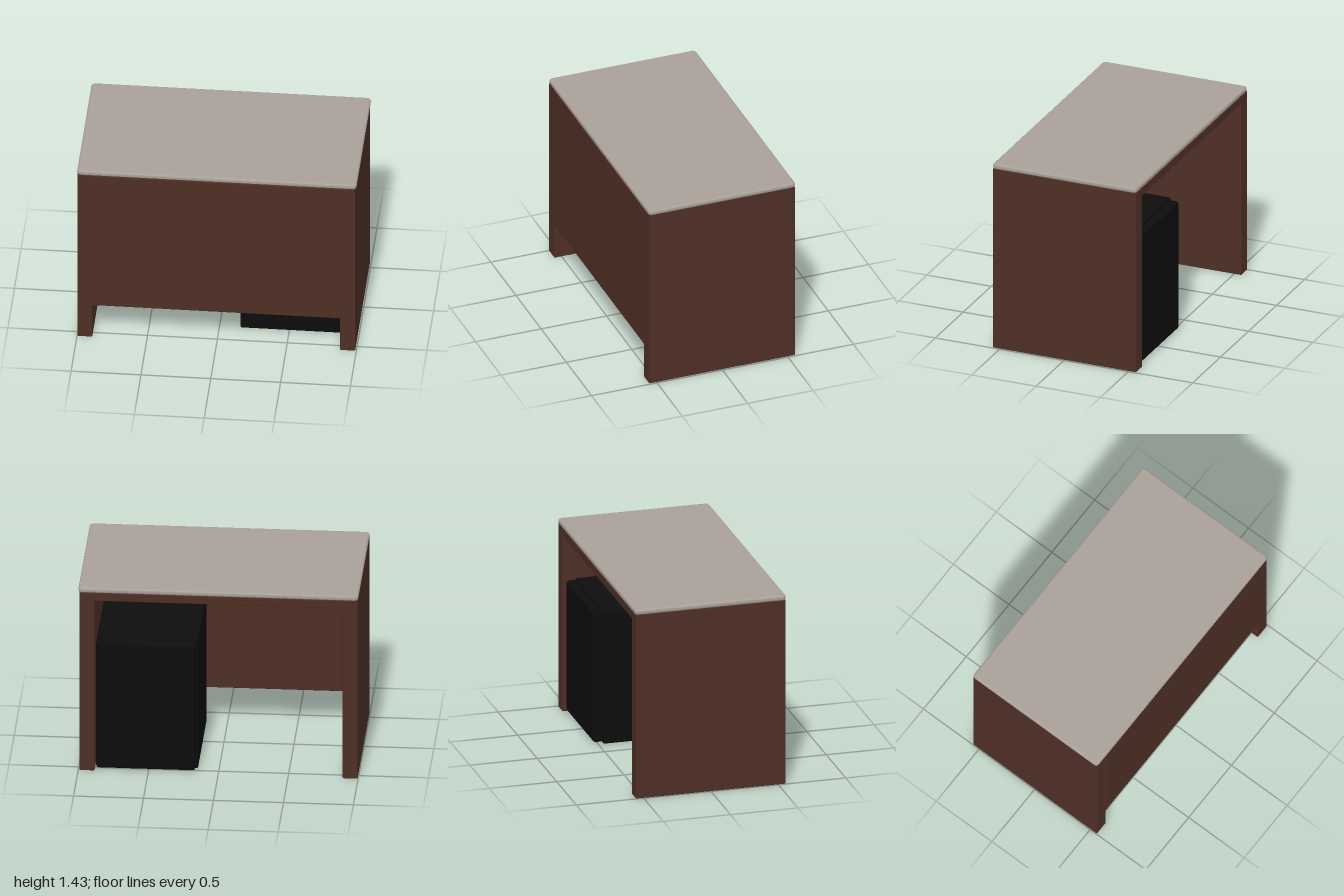
import * as THREE from 'three';
import { RoundedBoxGeometry } from 'three/addons/geometries/RoundedBoxGeometry.js';

const material = (name, color) => {
  const m = new THREE.MeshStandardMaterial({ color });
  m.name = name;
  return m;
};

export function createModel() {
  const desk = new THREE.Group();
  desk.name = 'desk';
  const wood = material('dark brown wood', 0x4e2f25);
  const stone = material('warm grey top', 0xa8a098);
  const black = material('black cabinet', 0x0d0d0d);

  // Box given by its limits on each axis, with slightly rounded edges
  const box = (name, mat, [x0, x1], [y0, y1], [z0, z1], radius = 0.006) => {
    const mesh = new THREE.Mesh(new RoundedBoxGeometry(x1 - x0, y1 - y0, z1 - z0, 2, radius), mat);
    mesh.position.set((x0 + x1) / 2, (y0 + y1) / 2, (z0 + z1) / 2);
    mesh.name = name;
    desk.add(mesh);
    return mesh;
  };

  // Worktop with softly rounded vertical corners and edges
  const w = 0.985, d = 0.545, r = 0.012, bevel = 0.013;
  const outline = new THREE.Shape();
  outline.moveTo(-w + r, -d);
  outline.lineTo(w - r, -d).absarc(w - r, -d + r, r, -Math.PI / 2, 0);
  outline.lineTo(w, d - r).absarc(w - r, d - r, r, 0, Math.PI / 2);
  outline.lineTo(-w + r, d).absarc(-w + r, d - r, r, Math.PI / 2, Math.PI);
  outline.lineTo(-w, -d + r).absarc(-w + r, -d + r, r, Math.PI, Math.PI * 1.5);
  const slab = new THREE.ExtrudeGeometry(outline, {
    depth: 0.012, bevelEnabled: true, bevelThickness: bevel, bevelSize: 0.015, bevelSegments: 3, curveSegments: 5,
  });
  slab.rotateX(-Math.PI / 2);
  const worktop = new THREE.Mesh(slab, stone);
  worktop.position.y = 1.392 + bevel;
  worktop.name = 'worktop';
  desk.add(worktop);

  // Wooden carcass
  box('rightSidePanel', wood, [-0.997, -0.89], [0, 1.394], [-0.557, 0.557]);
  box('leftSidePanel', wood, [0.883, 0.992], [0, 1.394], [-0.557, 0.557]);
  box('topRail', wood, [-0.9, 0.893], [1.33, 1.393], [-0.556, 0.55]);
  box('frontPanel', wood, [-0.9, 0.893], [0.275, 1.393], [0.45, 0.56]);
  box('innerFrontPanel', wood, [-0.855, 0.88], [0.26, 1.335], [0.36, 0.47]);
  box('innerFillerStrip', wood, [-0.893, -0.85], [0.28, 1.335], [0.36, 0.46]);

  // Black cabinet standing under the worktop, door facing the back
  box('cabinetBody', black, [0.15, 0.872], [0, 1.01], [-0.465, 0.345], 0.012);
  box('cabinetDoor', black, [0.165, 0.875], [0.01, 1.0], [-0.535, -0.46], 0.022);

  return desk;
}
